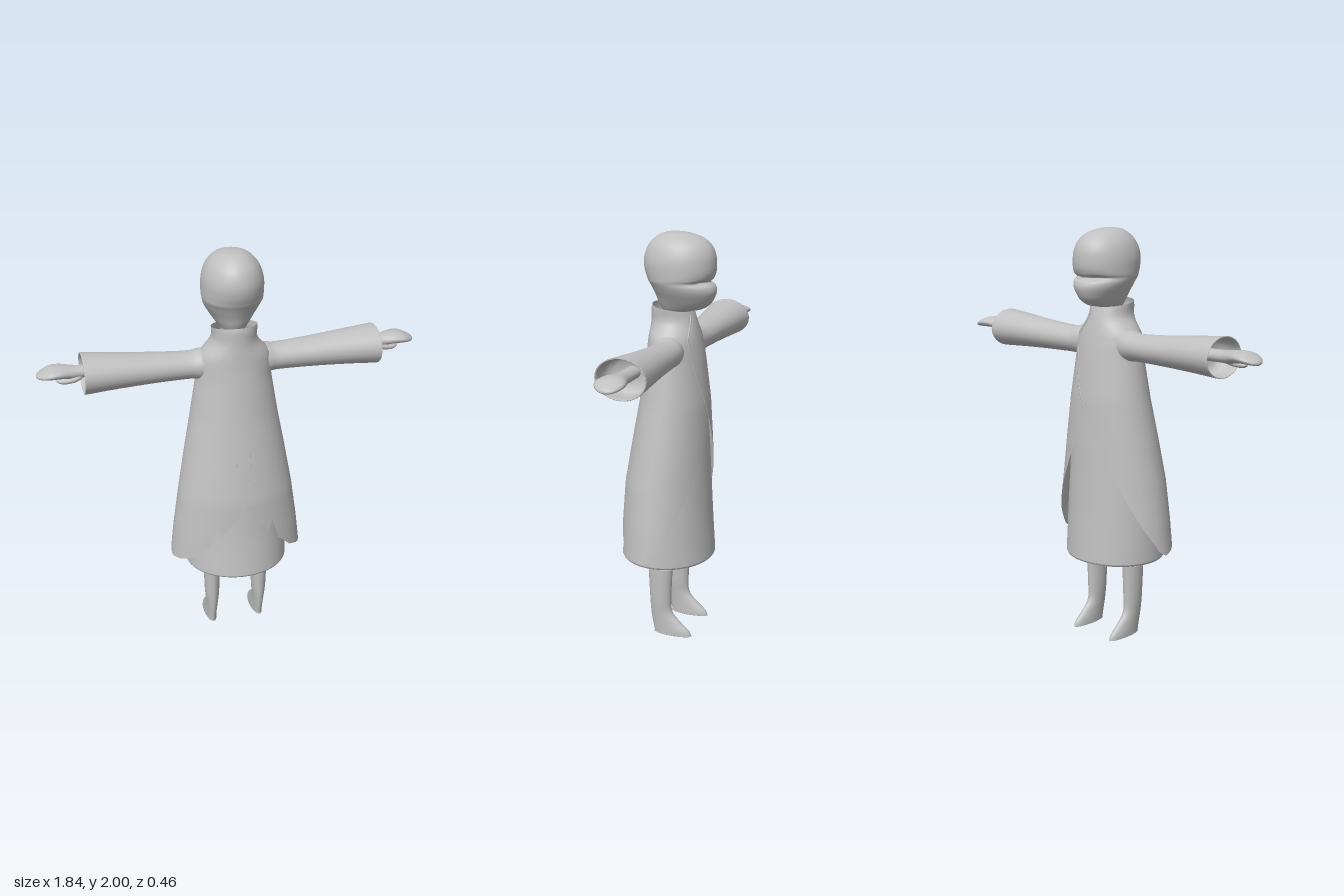
import * as THREE from 'three';
import { mergeVertices } from 'three/addons/utils/BufferGeometryUtils.js';

const grey = new THREE.MeshStandardMaterial({ color: 0xc0c0c0, side: THREE.DoubleSide });
grey.name = 'plain grey';

// Smooth sheet through a grid of points: fn(row, column) -> [x, y, z]
function sheet(rows, cols, fn) {
  const pos = [], idx = [];
  for (let i = 0; i <= rows; i++) {
    for (let j = 0; j <= cols; j++) pos.push(...fn(i, j));
  }
  for (let i = 0; i < rows; i++) {
    for (let j = 0; j < cols; j++) {
      const a = i * (cols + 1) + j, b = a + 1, c = a + cols + 1, d = c + 1;
      idx.push(a, c, b, b, c, d);
    }
  }
  let g = new THREE.BufferGeometry();
  g.setAttribute('position', new THREE.Float32BufferAttribute(pos, 3));
  g.setIndex(idx);
  g = mergeVertices(g, 1e-5);
  g.computeVertexNormals();
  return g;
}

// Catmull-Rom through rows of numbers
function smoothRows(rows, steps) {
  const out = [], n = rows.length - 1;
  const at = (i) => rows[Math.min(n, Math.max(0, i))];
  for (let k = 0; k <= n * steps; k++) {
    const i = Math.min(n - 1, Math.floor(k / steps)), t = k / steps - i;
    out.push(rows[0].map((_, c) => {
      const [p, a, b, q] = [at(i - 1)[c], at(i)[c], at(i + 1)[c], at(i + 2)[c]];
      return a + 0.5 * t * (b - p + t * (2 * p - 5 * a + 4 * b - q + t * (3 * (a - b) + q - p)));
    }));
  }
  return out;
}

// Upright loft, rows [y, halfWidth, zBack, zFront]; angle 0 is at +z
function ringPoint([y, w, zb, zf], angle, cx = 0) {
  return [cx + w * Math.sin(angle), y, (zb + zf) / 2 + (zb - zf) / 2 * Math.cos(angle)];
}
function uprightLoft(rows, { cx = 0, steps = 4, sides = 40, bend = (p) => p } = {}) {
  const r = smoothRows(rows, steps);
  return sheet(r.length - 1, sides, (i, j) => bend(ringPoint(r[i], (j % sides) / sides * Math.PI * 2, cx)));
}

// Sideways loft, rows [x, y, z, radiusY, radiusZ]
function sidewaysLoft(rows, side, sides = 28) {
  const r = smoothRows(rows, 4);
  return sheet(r.length - 1, sides, (i, j) => {
    const [x, y, z, ry, rz] = r[i], a = (j % sides) / sides * Math.PI * 2 * side;
    return [x * side, y + ry * Math.cos(a), z - rz * Math.sin(a)];
  });
}

// Coat profile, top to bottom
const coatRows = [
  [1.67, 0.100, 0.076, -0.100], [1.65, 0.110, 0.083, -0.112], [1.60, 0.106, 0.084, -0.130],
  [1.57, 0.118, 0.085, -0.138], [1.54, 0.148, 0.088, -0.145], [1.51, 0.172, 0.091, -0.152],
  [1.46, 0.180, 0.096, -0.162], [1.40, 0.182, 0.105, -0.172], [1.20, 0.215, 0.135, -0.196],
  [1.00, 0.252, 0.170, -0.205], [0.80, 0.287, 0.203, -0.212], [0.60, 0.316, 0.215, -0.222],
  [0.44, 0.334, 0.220, -0.225],
];
function coatPoint(angle, y) {
  let i = 0;
  while (i < coatRows.length - 2 && coatRows[i + 1][0] > y) i++;
  const a = coatRows[i], b = coatRows[i + 1], t = (a[0] - y) / (a[0] - b[0]);
  return ringPoint(a.map((v, c) => v + (b[c] - v) * t), angle);
}

// Half hem from the back centre to the front centre: [angle at top, angle at hem, hem y]
const hem = [
  [0, 0, 1.03], [0.15, 0.145, 0.965], [0.19, 0.05, 0.91], [0.22, 0.02, 0.84], [0.26, 0.05, 0.78],
  [0.31, 0.135, 0.72], [0.42, 0.4, 0.63], [0.49, 0.48, 0.685], [0.58, 0.58, 0.575],
  [0.83, 0.84, 0.50], [1.15, 1.15, 0.465], [1.5, 1.5, 0.45], [1.7, 1.68, 0.475],
  [2.03, 2.03, 0.60], [2.55, 2.55, 0.84], [Math.PI, Math.PI, 1.13],
];
function coatGeometry() {
  const half = [];
  hem.slice(0, -1).forEach((a, i) => {
    for (let k = 0; k < 4; k++) half.push(a.map((v, c) => v + (hem[i + 1][c] - v) * k / 4));
  });
  half.push(hem[hem.length - 1]);
  const mirrored = half.slice(0, -1).reverse().map(([a, b, y]) => [-a, -b, y]);
  const columns = [...half, ...mirrored], rows = 48;
  return sheet(rows, columns.length - 1, (i, j) => {
    const t = i / rows, [top, low, y] = columns[j];
    const start = 1.65 + 0.015 * Math.cos(top);
    return coatPoint(top + (low - top) * t ** 6, start + (y - start) * t);
  });
}

// Overlapping front edge, lying on the coat
function coatEdgeGeometry() {
  const path = smoothRows([[2.8, 1.62], [2.52, 1.51], [2.68, 1.35], [Math.PI, 1.13]], 8);
  const curve = new THREE.CatmullRomCurve3(path.map(([a, y]) => new THREE.Vector3(...coatPoint(a, y))));
  return new THREE.TubeGeometry(curve, 48, 0.004, 6);
}

const headRows = [
  [2.0, 0, -0.03, -0.03], [1.995, 0.045, 0.02, -0.09], [1.975, 0.085, 0.062, -0.16],
  [1.94, 0.118, 0.097, -0.203], [1.90, 0.136, 0.115, -0.222], [1.86, 0.144, 0.121, -0.227],
  [1.82, 0.145, 0.115, -0.225], [1.79, 0.144, 0.104, -0.214], [1.775, 0.141, 0.098, -0.202],
  [1.755, 0.136, 0.087, -0.222], [1.73, 0.125, 0.075, -0.229], [1.70, 0.107, 0.062, -0.221],
  [1.67, 0.088, 0.052, -0.203], [1.645, 0.070, 0.040, -0.165], [1.63, 0.058, 0.032, -0.11],
  [1.56, 0.056, 0.03, -0.095],
];
// Closed eyes pressed into the face
function eyeDents([x, y, z]) {
  if (z > -0.1) return [x, y, z];
  const depth = 0.02 * Math.exp(-(((y - 1.775) / 0.009) ** 2) - ((Math.abs(x) - 0.065) / 0.03) ** 2);
  return [x, y, z + depth];
}

const skirtRows = [
  [1.2, 0.185, 0.115, -0.175], [1.0, 0.215, 0.152, -0.192], [0.8, 0.235, 0.184, -0.203],
  [0.6, 0.248, 0.205, -0.214], [0.43, 0.256, 0.230, -0.226], [0.405, 0.255, 0.232, -0.226],
  [0.396, 0.245, 0.222, -0.217], [0.40, 0.225, 0.20, -0.195], [0.43, 0, 0, 0],
];

const legRows = [
  [0.5, 0.043, 0.066, -0.066], [0.4, 0.042, 0.064, -0.064], [0.2, 0.037, 0.055, -0.056],
  [0.12, 0.030, 0.050, -0.062], [0.07, 0.028, 0.044, -0.105], [0.03, 0.029, 0.036, -0.150],
  [0.008, 0.029, 0.032, -0.162], [0, 0.026, 0.028, -0.155], [0, 0, -0.06, -0.06],
];

// The sleeve turns in at the cuff and closes around the wrist
const sleeveRows = [
  [0.08, 1.46, -0.04, 0.08, 0.075], [0.16, 1.458, -0.047, 0.073, 0.078], [0.22, 1.456, -0.053, 0.065, 0.077],
  [0.40, 1.46, -0.055, 0.072, 0.088], [0.58, 1.465, -0.055, 0.084, 0.106], [0.70, 1.467, -0.054, 0.093, 0.119],
  [0.712, 1.467, -0.054, 0.092, 0.118], [0.705, 1.467, -0.054, 0.087, 0.112],
  [0.62, 1.467, -0.056, 0.078, 0.098], [0.60, 1.467, -0.06, 0, 0],
];

const handRows = [
  [0.59, 1.475, -0.065, 0.028, 0.036], [0.71, 1.475, -0.065, 0.028, 0.036], [0.76, 1.477, -0.065, 0.030, 0.045],
  [0.81, 1.484, -0.066, 0.028, 0.062], [0.855, 1.483, -0.068, 0.025, 0.068], [0.89, 1.475, -0.071, 0.018, 0.054],
  [0.915, 1.468, -0.076, 0.010, 0.028], [0.922, 1.466, -0.078, 0, 0],
];
const thumbRows = [
  [0.70, 1.462, -0.05, 0, 0], [0.73, 1.455, -0.045, 0.015, 0.022], [0.78, 1.446, -0.04, 0.015, 0.022],
  [0.82, 1.445, -0.045, 0.011, 0.017], [0.84, 1.45, -0.05, 0, 0],
];

export function createModel() {
  const model = new THREE.Group();
  model.name = 'robed figure';
  const add = (name, geometry) => {
    const mesh = new THREE.Mesh(geometry, grey);
    mesh.name = name;
    model.add(mesh);
  };
  add('head', uprightLoft(headRows, { steps: 5, sides: 56, bend: eyeDents }));
  add('coat', coatGeometry());
  add('coatEdge', coatEdgeGeometry());
  add('skirt', uprightLoft(skirtRows, { sides: 56 }));
  for (const [label, side] of [['left', 1], ['right', -1]]) {
    add(label + 'Sleeve', sidewaysLoft(sleeveRows, side));
    add(label + 'Hand', sidewaysLoft(handRows, side));
    add(label + 'Thumb', sidewaysLoft(thumbRows, side, 14));
    add(label + 'Leg', uprightLoft(legRows, { cx: side * 0.125, sides: 24 }));
  }
  return model;
}
